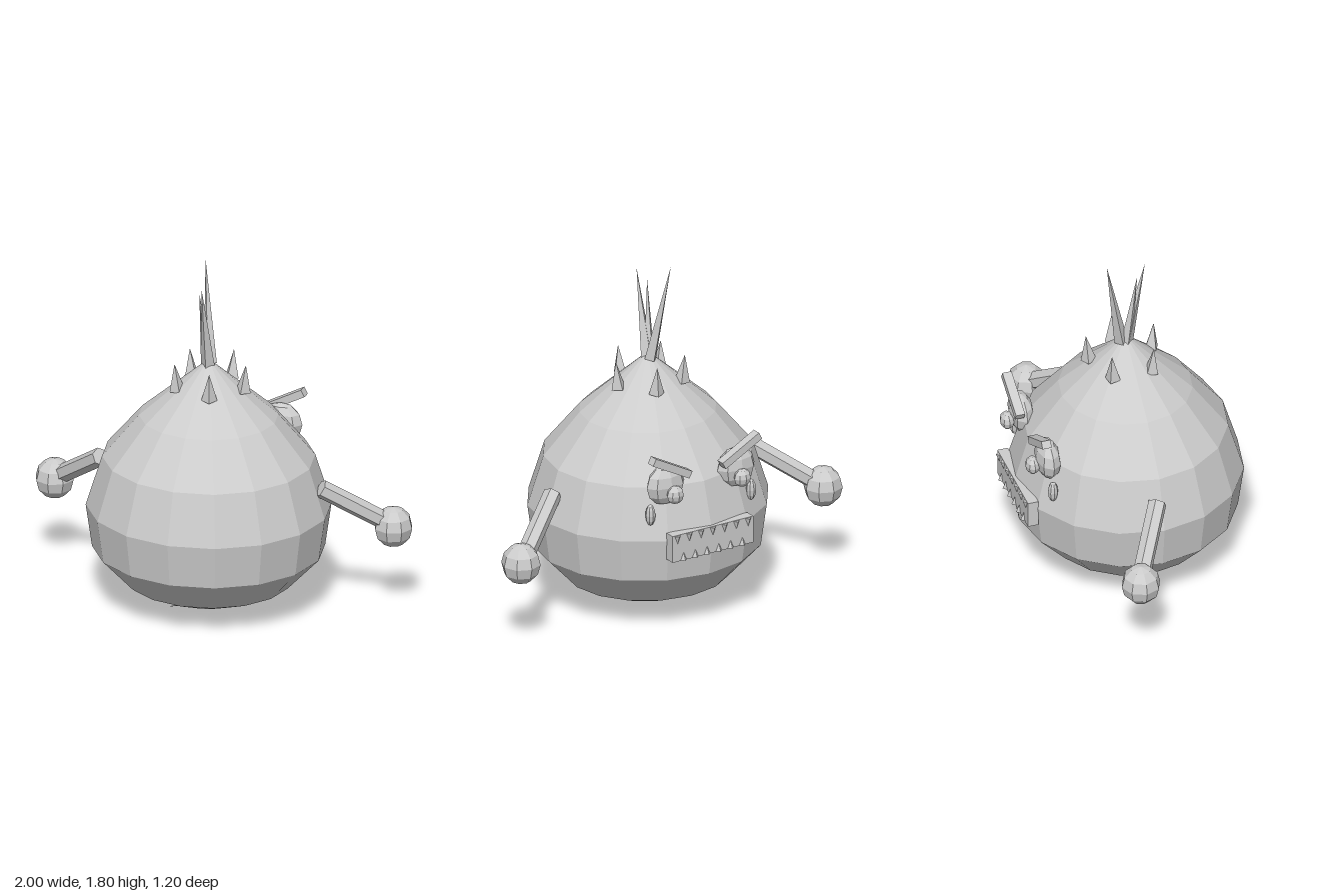
import * as THREE from 'three';

const grey = new THREE.MeshStandardMaterial({ color: 0xcccccc, flatShading: true });
grey.name = 'light grey';
const V = (x, y, z) => new THREE.Vector3(x, y, z);

export function createModel() {
  const root = new THREE.Group();
  root.name = 'spikyCreature';

  const add = (name, geometry, x = 0, y = 0, z = 0) => {
    const mesh = new THREE.Mesh(geometry, grey);
    mesh.name = name;
    mesh.position.set(x, y, z);
    root.add(mesh);
    return mesh;
  };

  // Tapered rod from a to b; r1 = 0 makes a spike
  const rod = (name, a, b, r0, r1, sides) => {
    const dir = b.clone().sub(a);
    const geometry = new THREE.CylinderGeometry(r1, r0, dir.length(), sides);
    const mid = a.clone().add(b).multiplyScalar(0.5);
    const mesh = add(name, geometry, mid.x, mid.y, mid.z);
    mesh.quaternion.setFromUnitVectors(V(0, 1, 0), dir.normalize());
    return mesh;
  };

  const ball = (name, x, y, z, rx, ry, rz) => {
    const mesh = add(name, new THREE.SphereGeometry(1, 8, 6), x, y, z);
    mesh.scale.set(rx, ry, rz);
    return mesh;
  };

  // Onion-shaped body
  const profile = [[0, 0.04], [0.18, 0.04], [0.42, 0.14], [0.585, 0.315], [0.617, 0.54],
    [0.535, 0.8], [0.35, 1.02], [0.025, 1.3], [0, 1.315]];
  const body = add('body', new THREE.LatheGeometry(
    profile.map(([r, y]) => new THREE.Vector2(r, y)), 16), 0, 0, 0.008);
  body.scale.z = 0.955;

  // Tall tuft on the crown
  rod('tuftSpike', V(0, 1.29, -0.015), V(-0.06, 1.805, -0.11), 0.035, 0, 4);
  rod('tuftSpike', V(0, 1.29, 0.015), V(0, 1.735, 0.11), 0.035, 0, 4);
  rod('tuftSpike', V(-0.01, 1.29, 0.01), V(-0.03, 1.69, 0.06), 0.03, 0, 4);

  // Ring of five short spikes around the crown
  for (let i = 0; i < 5; i++) {
    const a = (i / 5) * Math.PI * 2;
    const spike = add('crownSpike', new THREE.ConeGeometry(0.04, 0.145, 4),
      0.18 * Math.cos(a) + 0.008, 1.238, 0.18 * Math.sin(a));
    spike.rotation.set(0, -a, -0.1);
  }

  // Ring of seven swept-back claws underneath
  for (let i = 0; i < 7; i++) {
    const a = (i / 7) * Math.PI * 2;
    const x = 0.12 * Math.cos(a) - 0.02, z = 0.12 * Math.sin(a) + 0.008;
    rod('claw', V(x, 0.045, z), V(x - 0.12, 0.003, z), 0.015, 0, 4);
  }

  for (const s of [1, -1]) {
    const side = s > 0 ? 'left' : 'right';
    // Arm and round fist
    rod(side + 'Arm', V(s * 0.585, 0.695, -0.02), V(s * 0.87, 0.485, -0.2), 0.047, 0.047, 6);
    ball(side + 'Hand', s * 0.9, 0.46, -0.212, 0.1, 0.105, 0.1);

    // Eye, pupil and teardrop
    ball(side + 'Eye', s * 0.21, 0.82, -0.472, 0.11, 0.105, 0.062);
    ball(side + 'Pupil', s * 0.2, 0.787, -0.547, 0.047, 0.047, 0.037);
    ball(side + 'Tear', s * 0.3, 0.675, -0.473, 0.026, 0.057, 0.026);

    // Angry brow, outer end raised
    const brow = add(side + 'Brow', new THREE.BoxGeometry(0.245, 0.04, 0.048),
      s * 0.2075, 0.925, -0.512);
    brow.rotation.z = s * 0.49;
  }

  // Mouth plate on the back-facing face, with two rows of teeth
  add('mouth', new THREE.BoxGeometry(0.48, 0.142, 0.055), 0, 0.512, -0.557);
  const teeth = (name, count, yBase, yTip) => {
    for (let i = 0; i < count; i++) {
      const x = (i - (count - 1) / 2) * 0.07;
      rod(name, V(x, yBase, -0.582), V(x, yTip, -0.582), 0.02, 0, 4);
    }
  };
  teeth('upperTooth', 7, 0.58, 0.53);
  teeth('lowerTooth', 6, 0.443, 0.49);

  return root;
}
